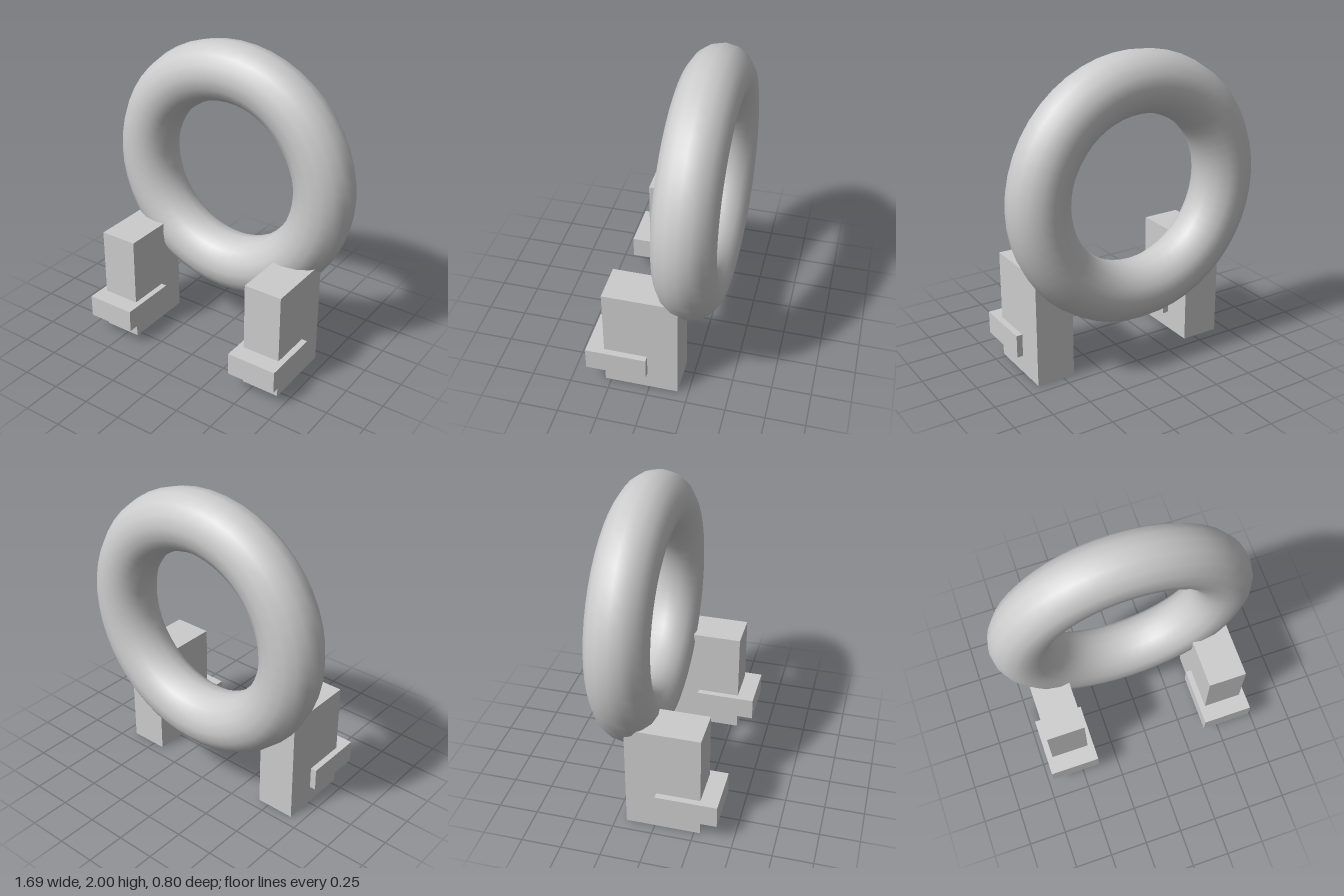
import * as THREE from 'three';

export function createModel() {
  const model = new THREE.Group();
  const grey = new THREE.MeshStandardMaterial({ color: 0xcccccc });
  grey.name = 'lightGrey';

  const add = (name, geometry, x, y, z, parent = model) => {
    const mesh = new THREE.Mesh(geometry, grey);
    mesh.name = name;
    mesh.position.set(x, y, z);
    parent.add(mesh);
    return mesh;
  };

  // Upright ring resting against the posts
  add('ring', new THREE.TorusGeometry(0.656, 0.189, 16, 48), 0, 1.155, -0.21);

  // Two posts, each with a band wrapped around its front
  const postGeometry = new THREE.BoxGeometry(0.25, 0.713, 0.47);
  const bandGeometry = new THREE.BoxGeometry(0.328, 0.148, 0.388);
  for (const [name, side] of [['left', 1], ['right', -1]]) {
    const support = new THREE.Group();
    support.name = name + 'Support';
    support.position.x = side * 0.55;
    model.add(support);
    add(name + 'Post', postGeometry, 0, 0.3565, 0.053, support);
    add(name + 'Band', bandGeometry, 0, 0.19, 0.206, support);
  }

  return model;
}
